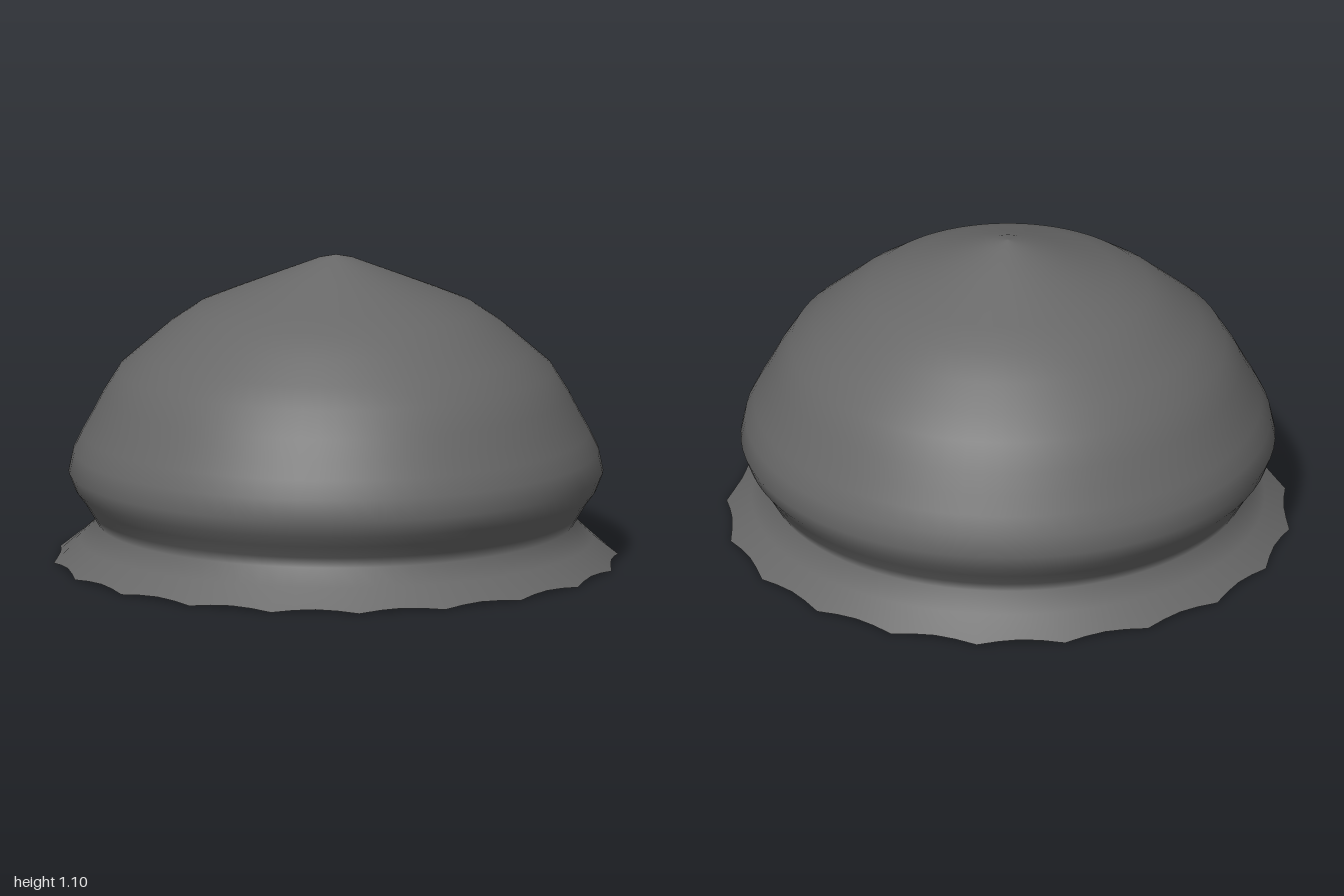
import * as THREE from 'three';

const SCALLOPS = 20;
const PHASE = THREE.MathUtils.degToRad(5.8);

// Revolves a profile (radius, height) and scallops every vertex that sits on the rim.
function revolve(name, profile, material) {
  const points = profile.map(([r, y]) => new THREE.Vector2(r, y));
  const geometry = new THREE.LatheGeometry(points, SCALLOPS * 4, PHASE);
  const pos = geometry.attributes.position;
  for (let i = 0; i < pos.count; i++) {
    if (pos.getY(i) > 0.001) continue;
    const x = pos.getX(i), z = pos.getZ(i);
    const wave = Math.abs(Math.sin((Math.atan2(x, z) - PHASE) * SCALLOPS / 2));
    const s = 1 - 0.025 * wave;
    pos.setXYZ(i, x * s, 0.01 * wave, z * s);
  }
  const mesh = new THREE.Mesh(geometry, material);
  mesh.name = name;
  return mesh;
}

export function createModel() {
  const group = new THREE.Group();
  group.name = 'bell';
  const material = new THREE.MeshStandardMaterial({ color: 0x686868, side: THREE.DoubleSide });

  // Outer skin: flared skirt, pinched waist, rounded bulge and pointed crown
  group.add(revolve('outerBell', [
    [1.004, 0], [0.91, 0.075], [0.845, 0.135], [0.868, 0.175], [0.895, 0.22], [0.925, 0.26],
    [0.948, 0.32], [0.932, 0.395], [0.9, 0.46], [0.864, 0.525], [0.828, 0.595],
    [0.77, 0.688], [0.69, 0.758], [0.6, 0.836], [0.5, 0.905], [0.39, 0.952],
    [0.2, 1.03], [0.07, 1.083], [0, 1.1],
  ], material));

  // Underside: conical mouth narrowing to a soft throat, then a domed cavity
  group.add(revolve('innerCavity', [
    [0, 0.9], [0.1, 0.885], [0.25, 0.82], [0.38, 0.72], [0.46, 0.58], [0.485, 0.46],
    [0.475, 0.37], [0.468, 0.32], [0.48, 0.285], [0.52, 0.25], [0.7, 0.155],
    [0.88, 0.063], [1.004, 0],
  ], material));

  return group;
}
